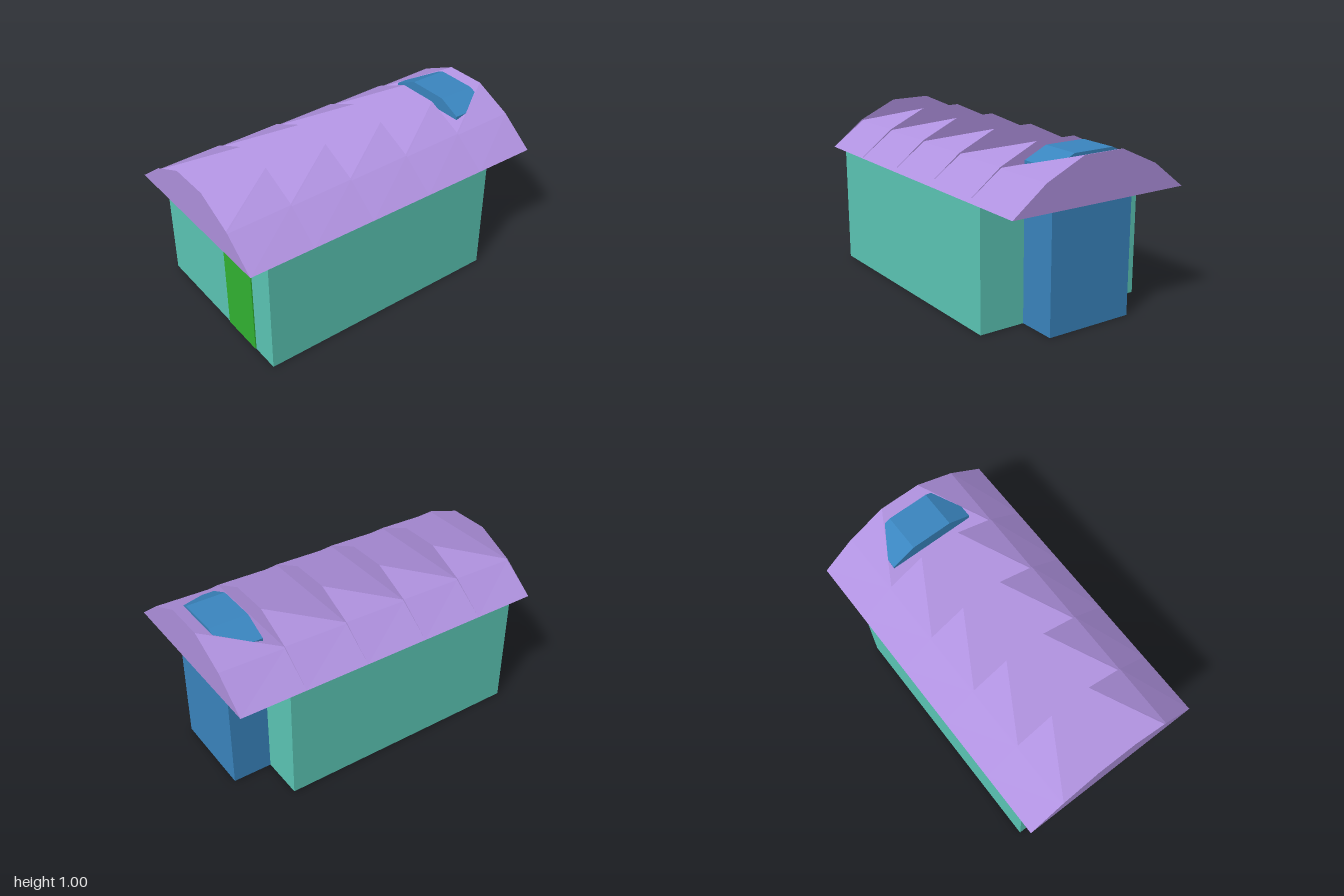
import * as THREE from 'three';

const material = (color) => new THREE.MeshStandardMaterial({ color, side: THREE.DoubleSide, flatShading: true });

// Roof cross-sections (x, y): the arch cut flat at the start of a bay, and full at its crest
const LOW = [[0.58, 0.73], [0.37, 0.88], [0.36, 0.885], [-0.36, 0.885], [-0.37, 0.88], [-0.58, 0.73]];
const CREST = [[0.58, 0.73], [0.37, 0.89], [0.13, 1], [-0.13, 1], [-0.37, 0.89], [-0.58, 0.73]];

// Skin between two cross-sections, facing outward
function loft(a, za, b, zb) {
  const pos = [];
  for (let i = 0; i < a.length - 1; i++) {
    const p = [...a[i], za], q = [...a[i + 1], za];
    const r = [...b[i + 1], zb], s = [...b[i], zb];
    pos.push(...p, ...r, ...q, ...p, ...s, ...r);
  }
  const g = new THREE.BufferGeometry();
  g.setAttribute('position', new THREE.Float32BufferAttribute(pos, 3));
  g.computeVertexNormals();
  return g;
}

function shapeFrom(points) {
  return new THREE.Shape(points.map(([x, y]) => new THREE.Vector2(x, y)));
}

export function createModel() {
  const group = new THREE.Group();
  const add = (name, geometry, mat, parent = group) => {
    const mesh = new THREE.Mesh(geometry, mat);
    mesh.name = name;
    parent.add(mesh);
    return mesh;
  };
  const teal = material(0x5cc8b7);
  const purple = material(0xb092e0);
  const green = material(0x32b432);
  const blue = material(0x3a86c0);

  // Hut body
  const body = new THREE.BoxGeometry(1.1, 0.73, 1.56);
  body.translate(0.005, 0.365, 0.1);
  add('walls', body, teal);

  // Door, slightly proud of the front wall
  const door = new THREE.BoxGeometry(0.28, 0.54, 0.01);
  door.translate(0.24, 0.275, 0.882);
  add('door', door, green);

  // Broad chimney against the back wall, its top trimmed to the arch of the roof
  const outline = [[-0.28, 0], [0.27, 0], [0.27, 0.93], [0.13, 0.995], [-0.13, 0.995], [-0.28, 0.925]];
  const chimney = new THREE.ExtrudeGeometry(shapeFrom(outline), { depth: 0.24, bevelEnabled: false });
  chimney.translate(0, 0, -0.92);
  add('chimney', chimney, blue);

  // Sawtooth roof: five bays rising toward the back, each ending in an upright step
  const roof = new THREE.Group();
  roof.name = 'roof';
  group.add(roof);
  for (let i = 0; i < 5; i++) {
    const z0 = 1 - i * 0.4, z1 = z0 - 0.4;
    add('roofBay', loft(LOW, z0, CREST, z1), purple, roof);
    if (i < 4) add('roofStep', loft(CREST, z1, LOW, z1), purple, roof);
  }

  // Arched gable sheets closing both ends
  const frontGable = add('frontGable', new THREE.ShapeGeometry(shapeFrom(CREST)), purple, roof);
  frontGable.position.z = 1;
  const backGable = add('backGable', new THREE.ShapeGeometry(shapeFrom(CREST)), purple, roof);
  backGable.rotation.y = Math.PI;
  backGable.position.z = -1;

  return group;
}
